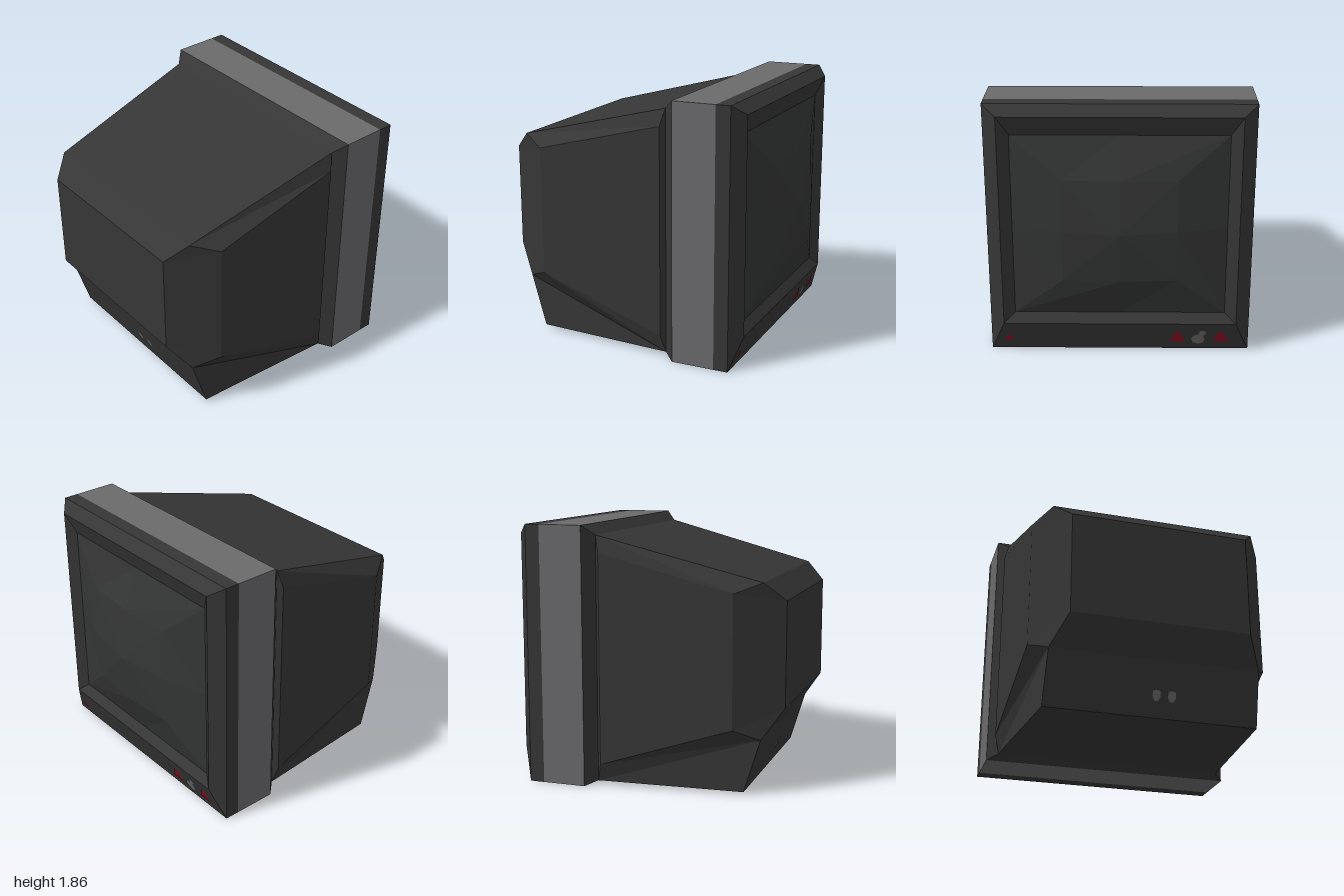
import * as THREE from 'three';

const mat = (name, color) => Object.assign(new THREE.MeshStandardMaterial({ color }), { name });

// Rings are listed counter-clockwise seen from +z; both start at the lower +x corner
const rect = (x, y0, y1, z) => [
  [x, y0, z], [x, y0, z], [x, y1, z], [x, y1, z],
  [-x, y1, z], [-x, y1, z], [-x, y0, z], [-x, y0, z],
];
const mirrored = (half) => [...half, ...half.slice().reverse().map(([x, y, z]) => [-x, y, z])];

// Flat-faced skin through a series of rings, optionally closed at the last ring
function loft(rings, cap = false) {
  const pos = [];
  const tri = (...corners) => {
    const [a, b, c] = corners.map((p) => new THREE.Vector3(...p));
    if (b.clone().sub(a).cross(c.clone().sub(a)).length() > 1e-7) pos.push(...corners.flat());
  };
  for (let r = 0; r + 1 < rings.length; r++) {
    const a = rings[r], b = rings[r + 1], n = a.length;
    for (let i = 0; i < n; i++) {
      const j = (i + 1) % n;
      tri(a[i], a[j], b[j]);
      tri(a[i], b[j], b[i]);
    }
  }
  if (cap) {
    const e = rings[rings.length - 1];
    for (let i = 1; i + 1 < e.length; i++) tri(e[0], e[i], e[i + 1]);
  }
  const g = new THREE.BufferGeometry();
  g.setAttribute('position', new THREE.Float32BufferAttribute(pos, 3));
  g.computeVertexNormals();
  return g;
}

export function createModel() {
  const model = new THREE.Group();
  model.name = 'monitor';
  const casing = mat('charcoal casing', 0x363636);
  const grey = mat('grey trim', 0x6a6a6c);
  const glass = mat('dark glass', 0x343535);
  const red = mat('red buttons', 0x8c0a20);

  const add = (name, geometry, material) => {
    const m = new THREE.Mesh(geometry, material);
    m.name = name;
    model.add(m);
    return m;
  };

  // Tapered tube housing with chamfered corners
  const neck = rect(0.855, 0.03, 1.79, -0.31);
  const shoulder = mirrored([[0.855, 0.03, -0.31], [0.89, 0.16, -0.28], [0.89, 1.67, -0.28], [0.855, 1.79, -0.31]]);
  const waist = mirrored([[0.75, 0.4, 0.855], [0.86, 0.48, 0.68], [0.86, 1.42, 0.68], [0.745, 1.49, 0.86]]);
  add('housing', loft([neck, shoulder, waist, rect(0.64, 0.61, 1.36, 1)], true), casing);

  // Wedge-shaped base under the housing
  add('base', loft([
    mirrored([[0.855, 0.03, -0.31], [0.855, 0.03, -0.31]]),
    mirrored([[0.76, 0.02, 0.74], [0.75, 0.4, 0.855]]),
  ], true), casing);

  // Screen frame: recess, chamfered rim, grey band, step down to the housing
  const frame = (z) => rect(0.93, 0, 1.86, z);
  add('bezel', loft([
    rect(0.75, 0.31, 1.65, -0.84), rect(0.83, 0.24, 1.79, -0.89), frame(-0.81), frame(-0.705),
  ]), casing);
  add('band', loft([frame(-0.705), frame(-0.39)]), grey);
  add('collar', loft([frame(-0.39), neck]), casing);

  // Bulging faceted screen: corners and edge middles rise to a central peak
  const screenRing = (w, h, zCorner, zMid) => [
    [1, -1], [1, 0], [1, 1], [0, 1], [-1, 1], [-1, 0], [-1, -1], [0, -1],
  ].map(([u, v]) => [u * w, 0.98 + v * h, u && v ? zCorner : zMid]);
  add('screen', loft([
    screenRing(0, 0, -1, -1), screenRing(0.4, 0.375, -0.925, -0.95), screenRing(0.75, 0.67, -0.84, -0.84),
  ]), glass);

  // Thin flat details laid on a sloping face
  const plate = (name, geometry, material, x, y, z, ny, nz) => {
    const m = add(name, geometry, material);
    const n = new THREE.Vector3(0, ny, nz).normalize();
    m.position.set(x, y, z).addScaledVector(n, 0.004);
    m.lookAt(m.position.clone().add(n));
  };
  const control = (name, geometry, material, x, y) =>
    plate(name, geometry, material, x, y, -0.81 - y / 3, -0.08, -0.24);

  // Controls along the lower edge of the bezel
  const arrow = new THREE.Shape([[-0.058, -0.045], [0.058, -0.045], [0.01, 0.055], [-0.015, 0.055]]
    .map((p) => new THREE.Vector2(...p)));
  control('powerLight', new THREE.CircleGeometry(0.028, 8), red, 0.8, 0.1);
  for (const x of [-0.417, -0.73]) control('redButton', new THREE.ShapeGeometry(arrow), red, x, 0.115);
  control('greyKnob', new THREE.CircleGeometry(0.05, 8), grey, -0.565, 0.095);
  control('greyKnobTip', new THREE.CircleGeometry(0.027, 8), grey, -0.595, 0.155);

  // Pair of sockets on the sloping end of the base
  const socket = new THREE.Shape([[-0.012, -0.04], [0.012, -0.04], [0.028, -0.01], [0.028, 0.025],
    [0.015, 0.035], [-0.015, 0.035], [-0.028, 0.025], [-0.028, -0.01]].map((p) => new THREE.Vector2(...p)));
  for (const x of [0.02, 0.13]) {
    plate('socket', new THREE.ShapeGeometry(socket), grey, x, 0.17, 0.74 + (0.15 * 0.115) / 0.38, -0.115, 0.38);
  }
  return model;
}
